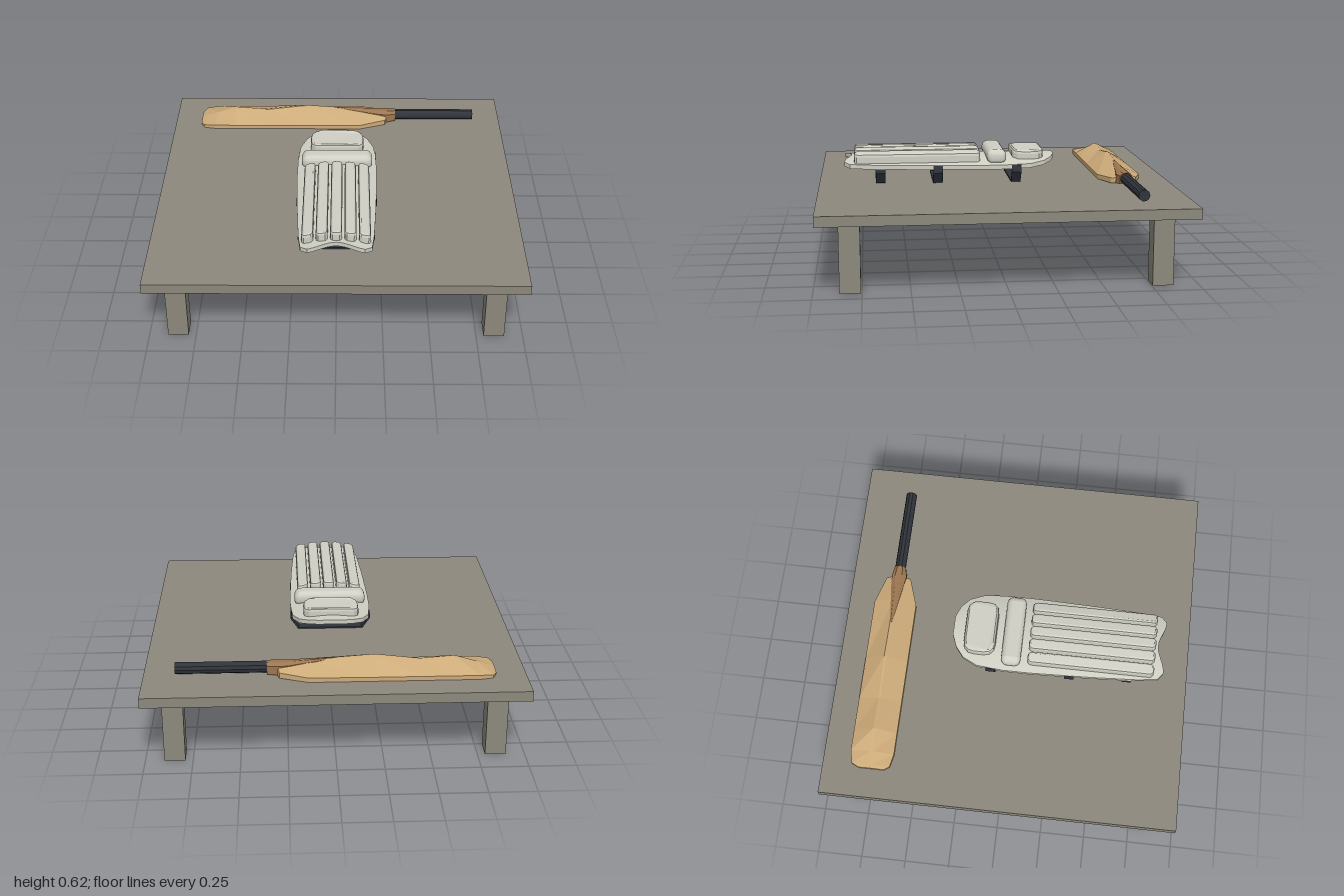
import * as THREE from 'three';
import { RoundedBoxGeometry } from 'three/addons/geometries/RoundedBoxGeometry.js';

const paint = (color, side = THREE.FrontSide) =>
  new THREE.MeshStandardMaterial({ color, flatShading: true, side });
const STONE = paint(0x8c887c);
const WOOD = paint(0xcdab7a);
const SPLICE = paint(0x9d7650);
const DARK = paint(0x30343b);
const PAD = paint(0xcfcfc4);

function add(parent, name, geometry, material, x = 0, y = 0, z = 0) {
  const mesh = new THREE.Mesh(geometry, material);
  mesh.name = name;
  mesh.position.set(x, y, z);
  parent.add(mesh);
  return mesh;
}

// Skin a row of closed rings (even point count) and close both ends
function loft(rings) {
  const n = rings[0].length;
  const index = [];
  const quad = (a, b, c, d) => index.push(a, b, c, a, c, d);
  for (let r = 0; r < rings.length - 1; r++) {
    for (let i = 0; i < n; i++) {
      const j = (i + 1) % n;
      quad(r * n + i, r * n + j, (r + 1) * n + j, (r + 1) * n + i);
    }
  }
  const end = (rings.length - 1) * n;
  for (let i = 0; i < n / 2 - 1; i++) {
    quad(n - 1 - i, n - 2 - i, i + 1, i);
    quad(end + i, end + i + 1, end + n - 2 - i, end + n - 1 - i);
  }
  const g = new THREE.BufferGeometry();
  g.setAttribute('position', new THREE.Float32BufferAttribute(rings.flat(2), 3));
  g.setIndex(index);
  const flat = g.toNonIndexed();
  flat.computeVertexNormals();
  return flat;
}

function makeTable() {
  const table = new THREE.Group();
  table.name = 'table';
  add(table, 'tableTop', new THREE.BoxGeometry(2, 0.055, 1.965), STONE, 0, 0.398, 0);
  for (const sx of [-1, 1]) {
    for (const sz of [-1, 1]) {
      add(table, 'tableLeg', new THREE.BoxGeometry(0.11, 0.372, 0.11), STONE, sx * 0.845, 0.186, sz * 0.81);
    }
  }
  return table;
}

// Bat cross-section: flat face below, thin edges, ridge on top
const batRing = ([x, back, front, bottom, edge, ridge, half = 0.006]) => [
  [x, bottom, front], [x, bottom, back], [x, edge, back],
  [x, ridge, -0.715 - half], [x, ridge, -0.715 + half], [x, edge, front],
];

function makeBat() {
  const bat = new THREE.Group();
  bat.name = 'bat';
  const blade = [
    [-0.84, -0.78, -0.64, 0.43, 0.44, 0.445],
    [-0.82, -0.82, -0.61, 0.427, 0.445, 0.451],
    [-0.75, -0.835, -0.595, 0.427, 0.45, 0.473],
    [-0.63, -0.835, -0.595, 0.427, 0.45, 0.51],
    [-0.45, -0.835, -0.595, 0.427, 0.45, 0.496],
    [-0.21, -0.835, -0.595, 0.427, 0.45, 0.525],
    [0.14, -0.835, -0.595, 0.427, 0.452, 0.5],
    [0.29, -0.785, -0.645, 0.43, 0.46, 0.488],
    [0.3, -0.76, -0.66, 0.432, 0.46, 0.487],
  ];
  add(bat, 'blade', loft(blade.map(batRing)), WOOD);
  // Tapered wedge that carries the handle into the blade
  const splice = [
    [0, -0.72, -0.71, 0.49, 0.508, 0.512, 0.003],
    [0.25, -0.752, -0.678, 0.445, 0.483, 0.497, 0.015],
    [0.3, -0.755, -0.67, 0.432, 0.483, 0.497, 0.02],
    [0.355, -0.747, -0.683, 0.436, 0.48, 0.496, 0.014],
  ];
  add(bat, 'splice', loft(splice.map(batRing)), SPLICE);
  const handle = add(bat, 'handle', new THREE.CylinderGeometry(0.031, 0.031, 0.49, 10), DARK, 0.588, 0.465, -0.715);
  handle.rotation.z = Math.PI / 2;
  return bat;
}

// Drop of the pad's curved front away from its centre line
const arch = (x) => 0.72 * x * x;

function makeShell() {
  // z and half width
  const rows = [
    [-0.35, 0.055], [-0.325, 0.12], [-0.28, 0.175], [-0.2, 0.212], [-0.05, 0.224],
    [0.1, 0.224], [0.45, 0.213], [0.7, 0.2], [0.81, 0.187], [0.84, 0.15],
  ];
  const steps = 12;
  return loft(rows.map(([z, w]) => {
    const top = [], bottom = [];
    for (let i = 0; i <= steps; i++) {
      const u = (i / steps) * 2 - 1, x = u * w;
      // concave lower end
      const notch = Math.max(0, (z - 0.7) / 0.14) * 0.02 * (1 + Math.cos(Math.PI * u));
      bottom.push([x, 0.543 - arch(x), z - notch]);
      top.unshift([x, 0.567 - arch(x), z - notch]);
    }
    return [...bottom, ...top];
  }));
}

// Soft block bent over the pad's arch, with chamfered ends
function cushion(x, z, width, length, bottom, top, corner) {
  const h = top - bottom;
  const s = new THREE.Shape();
  const a = width / 2 - 0.012, b = length / 2 - 0.012, c = corner;
  s.moveTo(-a + c, -b);
  s.lineTo(a - c, -b).quadraticCurveTo(a, -b, a, -b + c);
  s.lineTo(a, b - c).quadraticCurveTo(a, b, a - c, b);
  s.lineTo(-a + c, b).quadraticCurveTo(-a, b, -a, b - c);
  s.lineTo(-a, -b + c).quadraticCurveTo(-a, -b, -a + c, -b);
  const g = new THREE.ExtrudeGeometry(s, {
    depth: h - 0.034, curveSegments: 3, bevelEnabled: true,
    bevelThickness: 0.017, bevelSize: 0.012, bevelSegments: 2,
  });
  g.rotateX(-Math.PI / 2);
  g.translate(x, bottom + 0.017, z);
  const p = g.attributes.position;
  for (let i = 0; i < p.count; i++) p.setY(i, p.getY(i) - arch(p.getX(i)));
  g.computeVertexNormals();
  return g;
}

// Thin band hanging below the pad
function strap(w) {
  const s = new THREE.Shape();
  const t = 0.008;
  s.moveTo(-w, 0.53);
  for (const [x, y] of [[-w - 0.004, 0.49], [-w + 0.04, 0.428], [w - 0.04, 0.428], [w + 0.004, 0.49], [w, 0.53],
    [w - t, 0.53], [w - t + 0.002, 0.492], [w - 0.045, 0.436], [-w + 0.045, 0.436], [-w + t - 0.002, 0.492], [-w + t, 0.53]]) {
    s.lineTo(x, y);
  }
  const g = new THREE.ExtrudeGeometry(s, { depth: 0.054, bevelEnabled: false });
  g.translate(0, 0, -0.027);
  return g;
}

function makePad() {
  const pad = new THREE.Group();
  pad.name = 'legPad';
  add(pad, 'padShell', makeShell(), PAD);
  for (let i = -2; i <= 2; i++) {
    add(pad, 'padRib', cushion(i * 0.075, 0.433, 0.062, 0.705, 0.55, 0.619, 0.014), PAD);
  }
  // Knee roll: rounded bar subdivided enough to follow the arch
  const roll = new RoundedBoxGeometry(0.4, 0.08, 0.108, 3, 0.034);
  const p = roll.attributes.position;
  for (let i = 0; i < p.count; i++) p.setY(i, p.getY(i) - arch(p.getX(i)) * 0.7);
  add(pad, 'kneeRoll', roll, PAD, 0, 0.586, -0.012);
  add(pad, 'topCushion', cushion(0, -0.195, 0.305, 0.178, 0.55, 0.612, 0.05), PAD);
  for (const [z, w] of [[0.64, 0.2], [0.32, 0.218], [-0.12, 0.221]]) {
    add(pad, 'strap', strap(w), DARK, 0, 0, z);
  }
  return pad;
}

export function createModel() {
  const model = new THREE.Group();
  model.name = 'cricketTable';
  model.add(makeTable(), makeBat(), makePad());
  return model;
}
